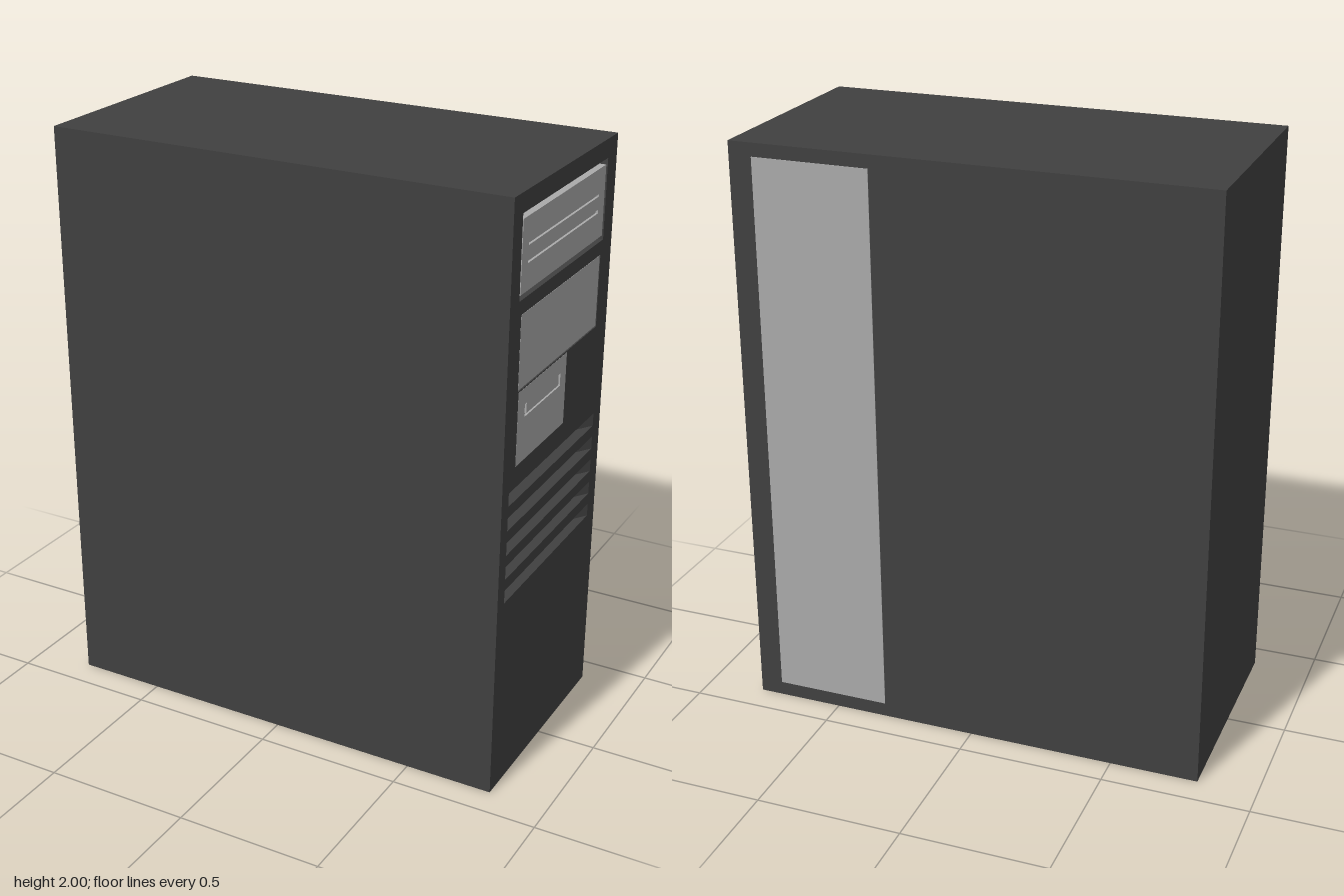
import * as THREE from 'three';

const dark = new THREE.MeshStandardMaterial({ color: 0x404040 });
const light = new THREE.MeshStandardMaterial({ color: 0xaaaaaa });

const FACE = 0.8;    // x of the detailed side
const DEPTH = 0.12;  // thickness of the face plate, and depth of the vents

// Outlines on the detailed side are drawn as (u, y) with u = -z.
const rectPoints = (u0, u1, y0, y1) => [[u0, y0], [u1, y0], [u1, y1], [u0, y1]];
const toVectors = (points) => points.map(([a, b]) => new THREE.Vector2(a, b));

export function createModel() {
  const model = new THREE.Group();

  function add(name, geometry, material) {
    const mesh = new THREE.Mesh(geometry, material);
    mesh.name = name;
    model.add(mesh);
    return mesh;
  }

  function box(name, x0, x1, y0, y1, z0, z1, material) {
    const geometry = new THREE.BoxGeometry(x1 - x0, y1 - y0, z1 - z0);
    geometry.translate((x0 + x1) / 2, (y0 + y1) / 2, (z0 + z1) / 2);
    return add(name, geometry, material);
  }

  // Plate with cut-outs, its outer surface at x = front
  function plate(name, outline, holes, front, thickness, material) {
    const shape = new THREE.Shape(toVectors(outline));
    holes.forEach((hole) => shape.holes.push(new THREE.Path(toVectors(hole))));
    const geometry = new THREE.ExtrudeGeometry(shape, { depth: thickness, bevelEnabled: false });
    geometry.rotateY(Math.PI / 2);
    geometry.translate(front - thickness, 0, 0);
    return add(name, geometry, material);
  }

  // Light insert with engraved grooves, backed by a solid block
  function insert(name, [u0, u1, y0, y1], grooves, front) {
    const engraving = 0.008;
    plate(name, rectPoints(u0, u1, y0, y1), grooves, front, engraving, light);
    box(name + 'Backing', FACE - DEPTH, front - engraving, y0, y1, -u1, -u0, light);
  }

  // Main case behind the face plate
  box('caseBody', -0.8, FACE - DEPTH, 0, 2, -0.4, 0.4, dark);

  // Face plate with three bays and five vents
  const vents = Array.from({ length: 5 }, (_, i) => {
    const top = 1.058 - i * 0.084;
    return [-0.35, 0.34, top - 0.045, top];
  });
  const bays = [
    [-0.335, 0.325, 1.67, 1.937],
    [-0.316, 0.31, 1.378, 1.623],
    [-0.31, 0.066, 1.13, 1.374],
  ];
  plate('facePlate', rectPoints(-0.4, 0.4, 0, 2),
    [...bays, ...vents].map((r) => rectPoints(...r)), FACE, DEPTH, dark);

  // Floors of the shallow gaps around the inserts
  bays.forEach(([u0, u1, y0, y1]) =>
    box('bayFloor', FACE - DEPTH, FACE - 0.03, y0, y1, -u1, -u0, dark));

  // Upper drive with two long grooves
  insert('upperDrive', [-0.325, 0.317, 1.685, 1.917], [
    rectPoints(-0.28, 0.268, 1.826, 1.834),
    rectPoints(-0.28, 0.268, 1.771, 1.783),
  ], FACE - 0.002);

  // Blank middle cover
  insert('middleCover', [-0.315, 0.304, 1.383, 1.622], [], FACE);

  // Small lower drive with a U-shaped groove
  const [a, b, w] = [-0.257, 0.02, 0.014];
  insert('lowerDrive', [-0.3095, 0.0655, 1.1305, 1.3735], [[
    [a, 1.276], [b, 1.276], [b, 1.318], [b - w, 1.318],
    [b - w, 1.283], [a + w, 1.283], [a + w, 1.318], [a, 1.318],
  ]], FACE);

  // Sloping ends inside each vent
  vents.forEach(([u0, u1, y0, y1]) => {
    [[u0, -0.23], [u1, 0.155]].forEach(([outer, inner]) => {
      const shape = new THREE.Shape(toVectors([
        [FACE, outer], [FACE - DEPTH, outer], [FACE - DEPTH, inner],
      ]));
      const geometry = new THREE.ExtrudeGeometry(shape, { depth: y1 - y0, bevelEnabled: false });
      geometry.rotateX(-Math.PI / 2);
      geometry.translate(0, y0, 0);
      add('ventSlope', geometry, dark);
    });
  });

  // Tall light panel on the back
  box('backPanel', 0.32, 0.72, 0.05, 1.955, -0.402, -0.39, light);

  return model;
}
